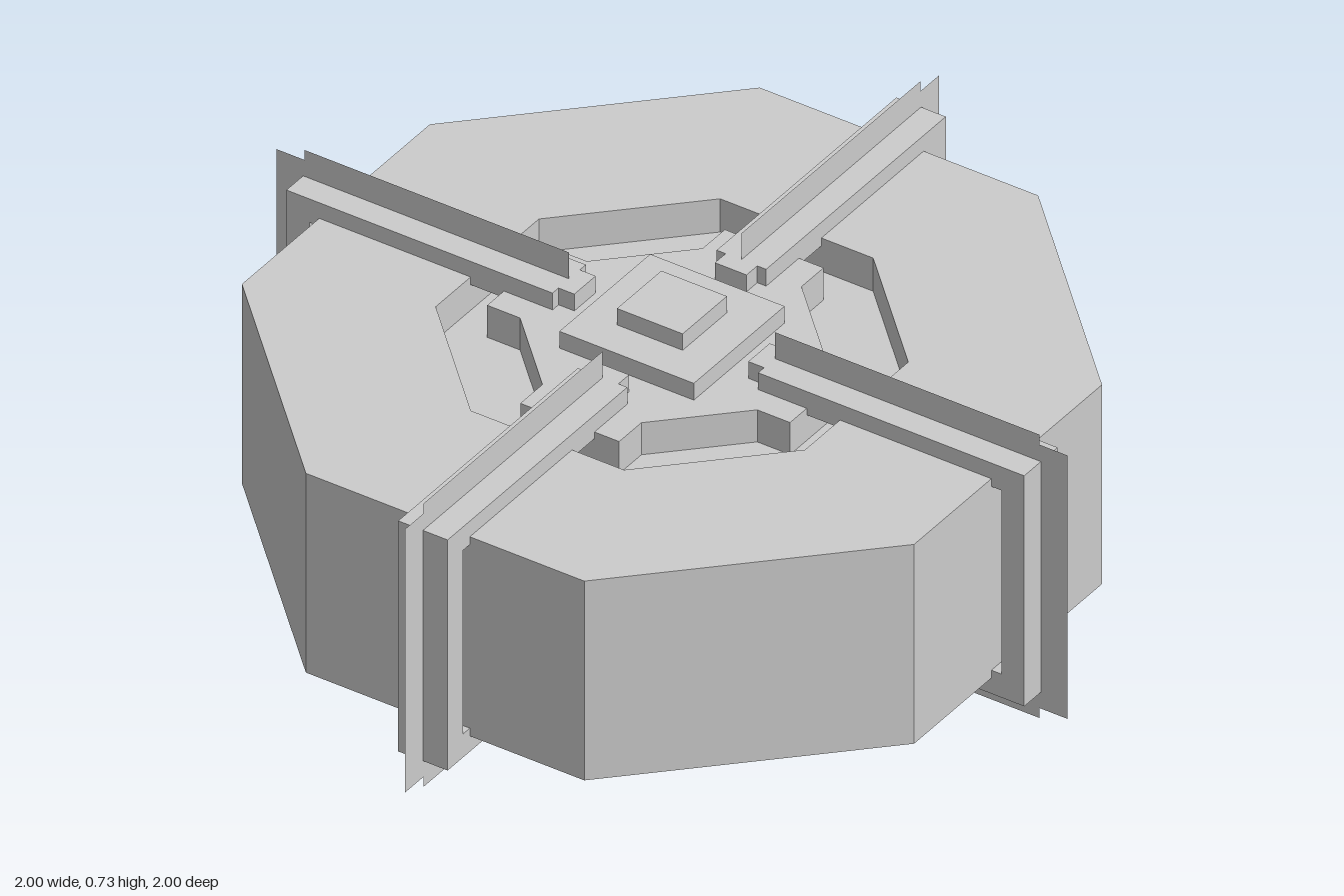
import * as THREE from 'three';

const MID = 0.3625; // height of the horizontal symmetry plane

export function createModel() {
  const model = new THREE.Group();
  const grey = new THREE.MeshStandardMaterial({ color: 0xcccccc, flatShading: true });
  const thin = new THREE.MeshStandardMaterial({ color: 0xcccccc, side: THREE.DoubleSide });

  const add = (parent, name, geometry, x = 0, y = 0, material = grey) => {
    const mesh = new THREE.Mesh(geometry, material);
    mesh.name = name;
    mesh.position.set(x, y, 0);
    parent.add(mesh);
    return mesh;
  };
  // Box spanning x0..x1 and y0..y1, centred on z
  const bar = (parent, name, x0, x1, y0, y1, width) =>
    add(parent, name, new THREE.BoxGeometry(x1 - x0, y1 - y0, width), (x0 + x1) / 2, (y0 + y1) / 2);

  // Regular octagon with flat sides on the axes
  const octagon = (apothem) => {
    const r = apothem / Math.cos(Math.PI / 8);
    return Array.from({ length: 8 }, (_, i) => {
      const a = Math.PI / 8 + (i * Math.PI) / 4;
      return new THREE.Vector2(r * Math.cos(a), r * Math.sin(a));
    });
  };
  // Flat slab from an outline, symmetrical about the middle plane
  const slab = (shape, half) =>
    new THREE.ExtrudeGeometry(shape, { depth: 2 * half, bevelEnabled: false })
      .translate(0, 0, -half).rotateX(-Math.PI / 2);

  const body = new THREE.Group();
  body.name = 'body';
  body.position.y = MID;
  model.add(body);

  // Heavy octagonal ring
  const ring = new THREE.Shape(octagon(0.85));
  ring.holes.push(new THREE.Path(octagon(0.467)));
  add(body, 'outerRing', slab(ring, 0.255));

  // Recessed web filling the ring
  add(body, 'recessedWeb', slab(new THREE.Shape(octagon(0.469)), 0.17));

  // Octagonal hub with four square lugs
  const hub = [];
  for (let i = 0; i < 4; i++) {
    for (const [x, y] of [[0.3, -0.125], [0.383, -0.125], [0.383, 0.125], [0.3, 0.125]]) {
      hub.push(new THREE.Vector2(x, y).rotateAround(new THREE.Vector2(), (i * Math.PI) / 2));
    }
  }
  add(body, 'hub', slab(new THREE.Shape(hub), 0.252));

  // Stepped square caps above and below
  add(body, 'hubPlate', new THREE.BoxGeometry(0.34, 0.59, 0.34));
  add(body, 'hubCap', new THREE.BoxGeometry(0.166, 0.674, 0.166));

  // Thin fin outline: a C shape wrapping the ring
  const half = [[0.26, 0.235], [0.26, 0.3625], [0.93, 0.3625], [0.93, 0.337], [1, 0.337]];
  const outline = [
    ...half,
    ...half.slice().reverse().map(([x, y]) => [x, -y]),
    [0.875, -0.235], [0.875, 0.235],
  ].map(([x, y]) => new THREE.Vector2(x, y));
  const finGeometry = new THREE.ShapeGeometry(new THREE.Shape(outline));

  // Four clamps around the ring
  for (let i = 0; i < 4; i++) {
    const clamp = new THREE.Group();
    clamp.name = 'clamp';
    clamp.rotation.y = (i * Math.PI) / 2;
    body.add(clamp);
    bar(clamp, 'clampPost', 0.875, 0.933, -0.295, 0.295, 0.125);
    for (const [y0, y1] of [[0.235, 0.295], [-0.295, -0.235]]) {
      bar(clamp, 'clampArm', 0.26, 0.875, y0, y1, 0.125);
      bar(clamp, 'clampTip', 0.22, 0.26, y0, y1, 0.08);
    }
    add(clamp, 'clampFin', finGeometry, 0, 0, thin);
  }
  return model;
}
